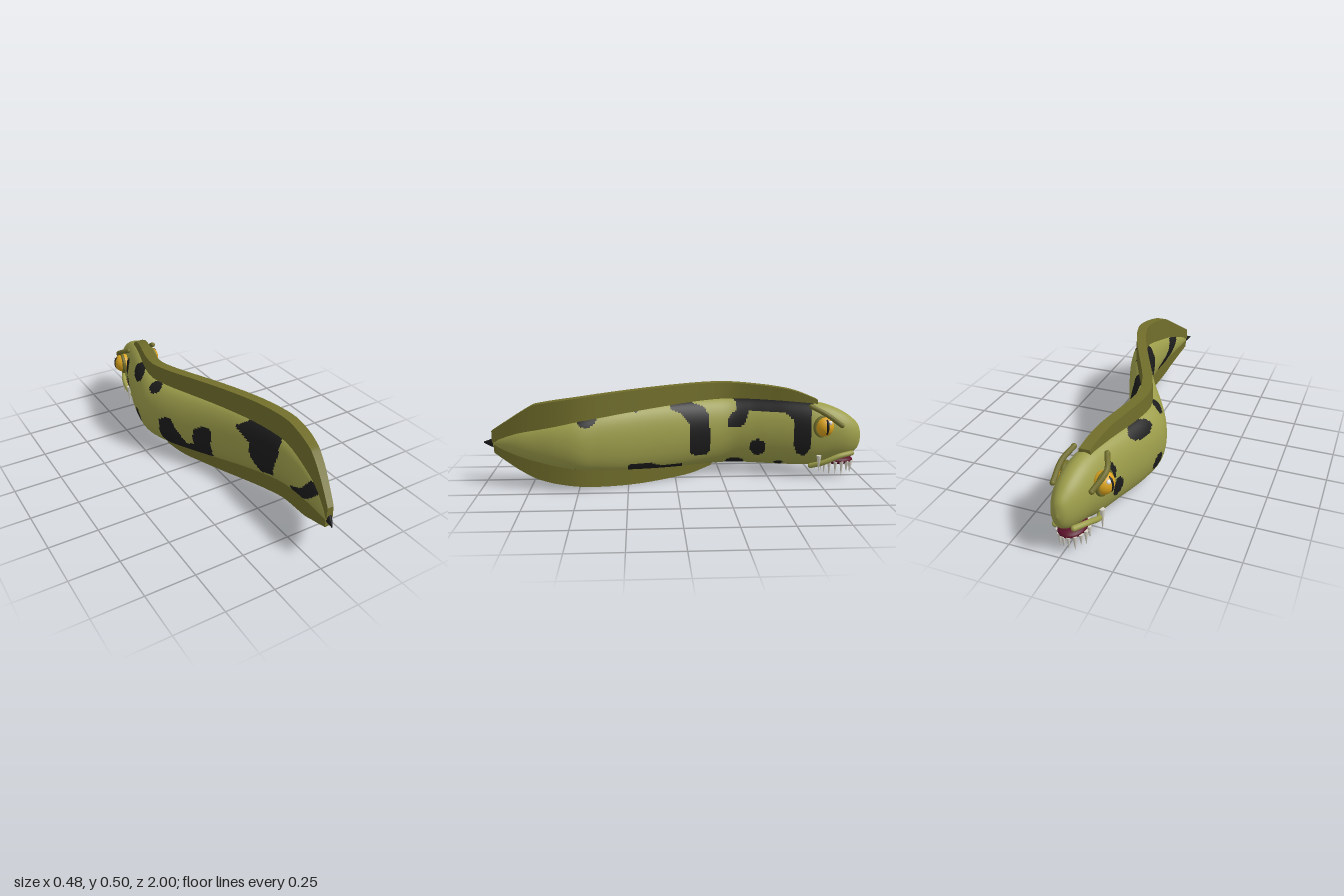
import * as THREE from 'three';
import { toCreasedNormals } from 'three/addons/utils/BufferGeometryUtils.js';

const mat = (name, color) => {
  const m = new THREE.MeshStandardMaterial({ color });
  m.name = name;
  return m;
};

// Body stations from nose to tail: z, centre x, half width, top y, bottom y
const BODY = [
  [-1, 0, 0, 0.225, 0.225], [-0.985, 0, 0.032, 0.285, 0.165], [-0.95, -0.002, 0.056, 0.325, 0.13],
  [-0.9, -0.006, 0.075, 0.36, 0.112], [-0.83, -0.014, 0.088, 0.392, 0.095], [-0.76, -0.025, 0.095, 0.41, 0.07],
  [-0.7, -0.038, 0.099, 0.415, 0.06], [-0.6, -0.065, 0.103, 0.42, 0.057], [-0.5, -0.095, 0.107, 0.422, 0.055],
  [-0.4, -0.12, 0.108, 0.424, 0.055], [-0.3, -0.131, 0.108, 0.425, 0.055], [-0.2, -0.107, 0.104, 0.425, 0.055],
  [-0.1, -0.066, 0.097, 0.423, 0.057], [0, -0.018, 0.088, 0.42, 0.06], [0.1, 0.029, 0.08, 0.416, 0.065],
  [0.2, 0.074, 0.074, 0.41, 0.072], [0.3, 0.115, 0.07, 0.402, 0.08], [0.4, 0.148, 0.068, 0.39, 0.09],
  [0.5, 0.17, 0.068, 0.375, 0.1], [0.6, 0.166, 0.062, 0.355, 0.115], [0.7, 0.148, 0.052, 0.333, 0.135],
  [0.8, 0.122, 0.042, 0.308, 0.16], [0.9, 0.085, 0.026, 0.272, 0.19], [0.95, 0.064, 0.015, 0.25, 0.205],
  [1, 0.04, 0.001, 0.228, 0.222],
];

// Smooth interpolation through table rows, u from 0 to 1
function spline(rows, u) {
  const n = rows.length - 1, f = Math.min(u * n, n - 1e-9), i = Math.floor(f), t = f - i;
  const at = (k) => rows[Math.max(0, Math.min(n, k))];
  return rows[0].map((_, c) => {
    const [a, b, d, e] = [at(i - 1)[c], at(i)[c], at(i + 1)[c], at(i + 2)[c]];
    return b + 0.5 * t * (d - a + t * (2 * a - 5 * b + 4 * d - e + t * (3 * (b - d) + e - a)));
  });
}

function bodyAt(z) {
  let lo = 0, hi = 1;
  for (let k = 0; k < 30; k++) {
    const m = (lo + hi) / 2;
    if (spline(BODY, m)[0] < z) lo = m; else hi = m;
  }
  return spline(BODY, lo);
}

// Skin over rings of points (counter-clockwise seen from +z, z rising);
// pick(x, y, z) gives the material index of each quad
function loft(rings, capped, pick = () => 0) {
  const n = rings[0].length, lists = [[], []], last = (rings.length - 1) * n;
  for (let i = 0; i < rings.length - 1; i++) {
    for (let j = 0; j < n; j++) {
      const k = (j + 1) % n, a = i * n + j, b = i * n + k;
      const p = rings[i][j], q = rings[i + 1][k];
      lists[pick((p[0] + q[0]) / 2, (p[1] + q[1]) / 2, (p[2] + q[2]) / 2)].push(a, b, a + n, b, b + n, a + n);
    }
  }
  if (capped) for (let j = 1; j < n - 1; j++) lists[0].push(0, j + 1, j, last, last + j, last + j + 1);
  const g = new THREE.BufferGeometry();
  g.setAttribute('position', new THREE.Float32BufferAttribute(rings.flat(2), 3));
  g.setIndex(lists.flat());
  g.addGroup(0, lists[0].length, 0);
  g.addGroup(lists[0].length, lists[1].length, 1);
  g.computeVertexNormals();
  return g;
}

// Dark blotches in (z, y): ellipses [z, y, rz, ry] and outlines, for the +x and -x flanks
const SPOTS = {
  left: {
    ovals: [[0.455, 0.375, 0.05, 0.04], [0.21, 0.405, 0.016, 0.016], [-0.445, 0.165, 0.042, 0.045],
      [0.54, 0.105, 0.035, 0.015], [-0.33, 0.07, 0.052, 0.024], [-0.565, 0.075, 0.022, 0.013]],
    outlines: [
      [[0.03, 0.422], [-0.08, 0.415], [-0.15, 0.39], [-0.18, 0.35], [-0.19, 0.16], [-0.17, 0.125], [-0.11, 0.125],
        [-0.08, 0.15], [-0.075, 0.3], [-0.03, 0.365], [0.03, 0.39]],
      [[-0.3, 0.45], [-0.76, 0.45], [-0.72, 0.37], [-0.715, 0.17], [-0.69, 0.125], [-0.65, 0.14], [-0.63, 0.19],
        [-0.63, 0.32], [-0.59, 0.355], [-0.4, 0.36], [-0.37, 0.29], [-0.34, 0.27], [-0.28, 0.275],
        [-0.28, 0.32], [-0.33, 0.365], [-0.33, 0.4]],
      [[0.25, 0.12], [0.14, 0.12], [0.08, 0.095], [-0.04, 0.09], [-0.04, 0.05], [0.25, 0.06]],
    ],
  },
  right: {
    ovals: [[-0.46, 0.385, 0.08, 0.035], [-0.24, 0.395, 0.035, 0.03], [-0.37, 0.17, 0.04, 0.045],
      [-0.67, 0.2, 0.032, 0.05], [-0.71, 0.3, 0.03, 0.05]],
    outlines: [
      [[-0.13, 0.265], [-0.17, 0.235], [-0.18, 0.14], [-0.17, 0.05], [0.02, 0.05], [0.1, 0.09], [0.12, 0.265],
        [0.08, 0.28], [0.02, 0.24], [0.01, 0.14], [-0.03, 0.13], [-0.08, 0.22], [-0.1, 0.26]],
      [[0.23, 0.34], [0.32, 0.41], [0.48, 0.4], [0.5, 0.28], [0.46, 0.14], [0.38, 0.12], [0.33, 0.2], [0.32, 0.28]],
      [[0.86, 0.3], [0.76, 0.3], [0.7, 0.22], [0.6, 0.17], [0.6, 0.13], [0.68, 0.14], [0.76, 0.2]],
    ],
  },
};

function inside(poly, z, y) {
  let hit = false;
  poly.forEach(([za, ya], i) => {
    const [zb, yb] = poly[(i + 1) % poly.length];
    if ((ya > y) !== (yb > y) && z < za + ((y - ya) / (yb - ya)) * (zb - za)) hit = !hit;
  });
  return hit;
}

export function createModel() {
  const root = new THREE.Group();
  const skin = mat('olive skin', 0x9d9e4b), fin = mat('dark olive fin', 0x716e2b);
  const black = mat('black blotch', 0x1c1c1c), amber = mat('amber iris', 0xdca41f);
  const white = mat('white glint', 0xf2f2f2), ivory = mat('ivory tooth', 0xd9d5c8), maroon = mat('maroon mouth', 0x5a1029);
  const add = (parent, name, geo, material, pos = [0, 0, 0], scale = [1, 1, 1]) => {
    const m = new THREE.Mesh(geo, material);
    m.name = name;
    m.position.set(...pos);
    m.scale.set(...scale);
    parent.add(m);
    return m;
  };

  // Sinuous body with blotches
  const rows = 300, sides = 96, rings = [];
  for (let i = 0; i <= rows; i++) {
    const [z, cx, hw, top, bot] = spline(BODY, i / rows);
    rings.push(Array.from({ length: sides }, (_, j) => {
      const a = (j / sides) * Math.PI * 2;
      return [cx + Math.max(hw, 0) * Math.cos(a), (top + bot) / 2 + ((top - bot) / 2) * Math.sin(a), z];
    }));
  }
  const blotch = (x, y, z) => {
    if (z > 0.945) return 1;
    const { ovals, outlines } = x > bodyAt(z)[1] ? SPOTS.left : SPOTS.right;
    const dark = ovals.some(([a, b, r, s]) => ((z - a) / r) ** 2 + ((y - b) / s) ** 2 < 1)
      || outlines.some((p) => inside(p, z, y));
    return dark ? 1 : 0;
  };
  add(root, 'body', loft(rings, false, blotch), [skin, black]);

  // Ribbon fins along back and belly: [z, outer edge y]
  const ribbon = (name, keys, up) => {
    const sections = [];
    for (let i = 0; i <= 40; i++) {
      const [z, outer] = spline(keys, i / 40), [, cx, , top, bot] = bodyAt(z);
      const inner = up ? Math.min(top - 0.02, outer - 0.01) : Math.max(bot + 0.02, outer + 0.01);
      const w = 0.03 * Math.min(1, 0.55 + (1 - z) * 1.2), wi = w * 0.9;
      sections.push(up
        ? [[cx + w, inner, z], [cx + wi, outer, z], [cx - wi, outer, z], [cx - w, inner, z]]
        : [[cx + wi, outer, z], [cx + w, inner, z], [cx - w, inner, z], [cx - wi, outer, z]]);
    }
    add(root, name, toCreasedNormals(loft(sections, true), 0.6), fin);
  };
  ribbon('dorsalFin', [[-0.76, 0.424], [-0.61, 0.475], [-0.35, 0.5], [-0.1, 0.508], [0.2, 0.503], [0.46, 0.485],
    [0.68, 0.452], [0.76, 0.42], [0.95, 0.293]], true);
  ribbon('ventralFin', [[-0.2, 0.05], [-0.1, 0.022], [0, 0.012], [0.2, 0.006], [0.46, 0.02], [0.68, 0.052],
    [0.8, 0.1], [0.94, 0.18]], false);

  // Eyes, lids, brows and lips on both sides of the head
  const ball = new THREE.SphereGeometry(1, 32, 20);
  for (const s of [1, -1]) {
    const side = s > 0 ? 'left' : 'right', cx = -0.033;
    const eye = new THREE.Group();
    eye.name = side + 'Eye';
    eye.position.set(cx + s * 0.09, 0.292, -0.785);
    eye.rotation.y = s * (Math.PI / 2 + 0.2);
    add(eye, 'iris', ball, amber, [0, 0, 0], [0.052, 0.055, 0.05]);
    add(eye, 'pupil', ball, black, [0, 0.002, 0.028], [0.012, 0.042, 0.0255]);
    add(eye, 'glint', ball, white, [s * 0.016, 0.026, 0.038], [0.012, 0.012, 0.01]);
    add(eye, 'eyelid', new THREE.TorusGeometry(0.053, 0.01, 10, 36), fin, [0, 0, 0.004]);
    root.add(eye);

    const tube = (name, pts, r, material) => {
      const path = new THREE.CatmullRomCurve3(pts.map(([x, y, z]) => new THREE.Vector3(x, y, z)));
      add(root, name, new THREE.TubeGeometry(path, 20, r, 10), material);
      add(root, name + 'FrontTip', ball, material, pts[pts.length - 1], [r, r, r]);
      add(root, name + 'RearTip', ball, material, pts[0], [r, r, r]);
    };
    tube(side + 'Brow', [[cx + s * 0.08, 0.398, -0.715], [cx + s * 0.108, 0.36, -0.79],
      [-0.015 + s * 0.092, 0.3, -0.875]], 0.013, fin);
    tube(side + 'Lip', [[-0.025 + s * 0.05, 0.068, -0.73], [-0.02 + s * 0.075, 0.092, -0.79],
      [-0.012 + s * 0.074, 0.128, -0.87], [-0.005 + s * 0.045, 0.14, -0.945]], 0.014, skin);
  }

  // Mouth with a ring of hanging teeth
  add(root, 'mouth', ball, maroon, [-0.012, 0.095, -0.88], [0.065, 0.026, 0.085]);
  const cone = new THREE.ConeGeometry(0.011, 1, 10).rotateX(Math.PI);
  for (const s of [1, -1]) {
    for (let i = 0; i < 7; i++) {
      const a = 0.18 + i * 0.4, len = [0.065, 0.075, 0.06, 0.08, 0.065, 0.085, 0.075][i];
      add(root, 'tooth', cone, ivory,
        [-0.014 + s * 0.066 * Math.sin(a), 0.095 - len / 2, -0.875 - 0.083 * Math.cos(a)], [1, len, 1]);
    }
    add(root, 'fang', cone, ivory, [-0.022 + s * 0.08, s > 0 ? 0.09 : 0.07, -0.765], [1.2, s > 0 ? 0.085 : 0.12, 1.2]);
  }
  return root;
}
